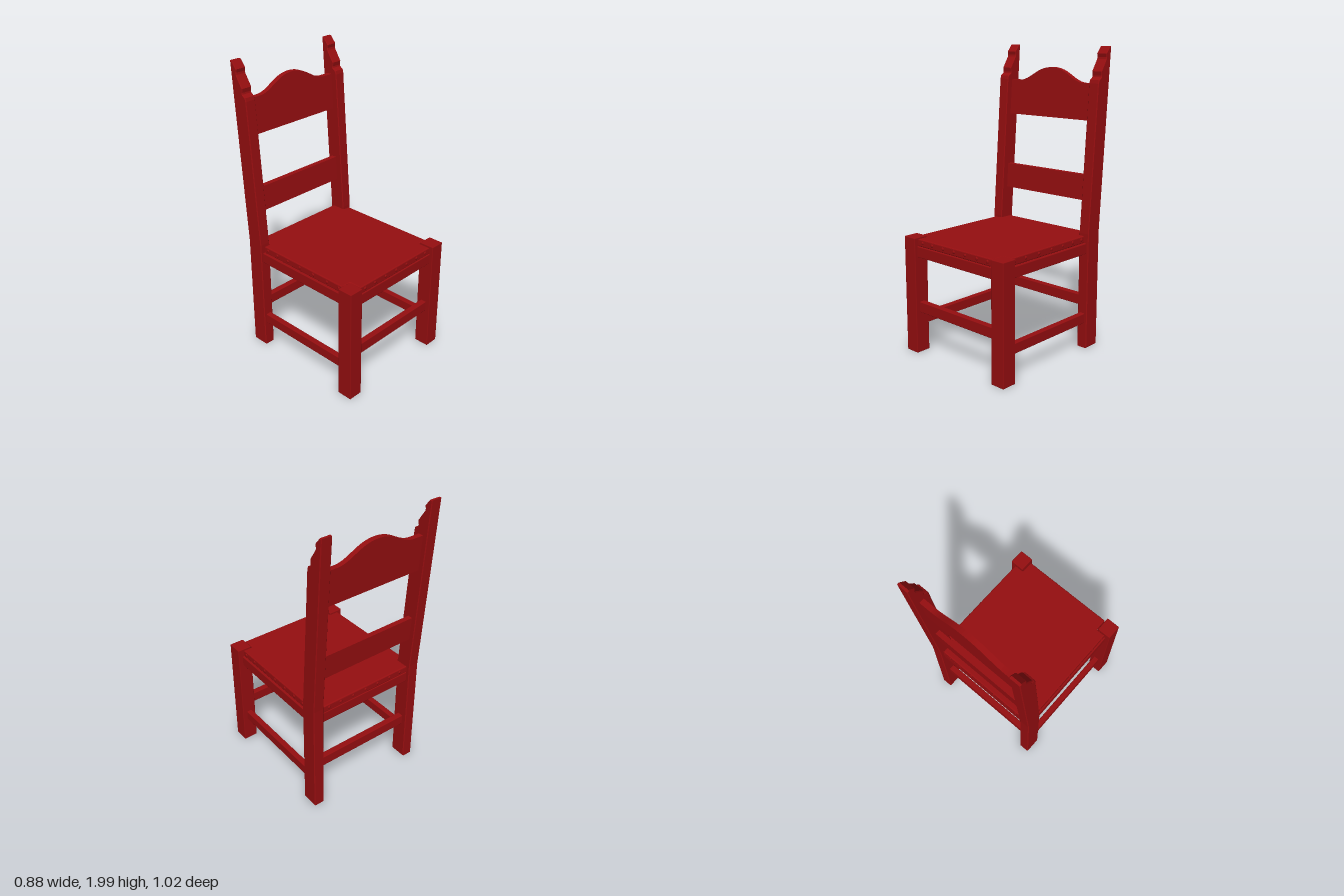
import * as THREE from 'three';
import { RoundedBoxGeometry } from 'three/addons/geometries/RoundedBoxGeometry.js';

export function createModel() {
  const chair = new THREE.Group();
  chair.name = 'chair';
  const red = new THREE.MeshStandardMaterial({ color: 0x960e10 });

  function add(name, geometry, x = 0, y = 0, z = 0) {
    const mesh = new THREE.Mesh(geometry, red);
    mesh.name = name;
    mesh.position.set(x, y, z);
    chair.add(mesh);
    return mesh;
  }
  // Softened bar given by its extents on each axis
  function bar(name, [x0, x1], [y0, y1], [z0, z1]) {
    const g = new RoundedBoxGeometry(x1 - x0, y1 - y0, z1 - z0, 1, 0.005);
    return add(name, g, (x0 + x1) / 2, (y0 + y1) / 2, (z0 + z1) / 2);
  }
  const points = list => list.map(([a, b]) => new THREE.Vector2(a, b));

  // Back post: side profile (z, y) with a carved finial, extruded across x
  const bevel = 0.005;
  const postShape = new THREE.Shape(points([
    [-0.42, 0.015], [-0.315, 0.015], [-0.315, 0.8], [-0.382, 1.765],
    [-0.387, 1.785], [-0.411, 1.802], [-0.414, 1.815], [-0.41, 1.84],
    [-0.458, 1.915], [-0.461, 1.93], [-0.457, 1.95], [-0.492, 1.993],
    [-0.501, 1.993], [-0.42, 0.8],
  ]));
  const postGeometry = new THREE.ExtrudeGeometry(postShape, {
    depth: 0.065, bevelThickness: bevel, bevelSize: bevel, bevelSegments: 1,
  });
  postGeometry.translate(0, 0, -0.0325).rotateY(-Math.PI / 2);

  for (const s of [-1, 1]) {
    const side = s > 0 ? 'Left' : 'Right';
    const span = (a, b) => (s > 0 ? [a, b] : [-b, -a]);
    add('backPost' + side, postGeometry, s * 0.389, 0, 0);
    bar('frontLeg' + side, span(0.34, 0.44), [0.01, 0.795], [0.405, 0.51]);
    bar('seatRail' + side, span(0.365, 0.41), [0.665, 0.737], [-0.33, 0.42]);
    bar('sideStretcher' + side, span(0.368, 0.408), [0.185, 0.253], [-0.33, 0.42]);
  }

  // Front and back rails and stretchers
  bar('frontSeatRail', [-0.35, 0.35], [0.665, 0.737], [0.445, 0.488]);
  bar('backSeatRail', [-0.36, 0.36], [0.665, 0.737], [-0.4, -0.357]);
  bar('frontStretcher', [-0.35, 0.35], [0.288, 0.36], [0.437, 0.479]);
  bar('backStretcher', [-0.36, 0.36], [0.288, 0.36], [-0.39, -0.348]);

  // Back slats, leaning with the posts
  const lean = 0.067;
  function slat(name, shape) {
    const g = new THREE.ExtrudeGeometry(shape, { depth: 0.035, bevelEnabled: false, curveSegments: 16 });
    const p = g.attributes.position;
    for (let i = 0; i < p.count; i++) {
      p.setZ(i, p.getZ(i) - 0.455 - lean * (p.getY(i) - 1.76));
    }
    g.computeVertexNormals();
    add(name, g);
  }
  slat('lowerSlat', new THREE.Shape(points([[-0.36, 1.005], [0.36, 1.005], [0.36, 1.172], [-0.36, 1.172]])));
  const crest = new THREE.Shape();
  crest.moveTo(-0.36, 1.525);
  crest.lineTo(0.36, 1.525);
  crest.lineTo(0.36, 1.762);
  crest.lineTo(0.28, 1.762);
  crest.bezierCurveTo(0.18, 1.762, 0.13, 1.855, 0, 1.855);
  crest.bezierCurveTo(-0.13, 1.855, -0.18, 1.762, -0.28, 1.762);
  crest.lineTo(-0.36, 1.762);
  slat('crestSlat', crest);

  // Upholstered seat, notched around the legs and posts
  const half = [[0.325, 0.478], [0.325, 0.405], [0.335, 0.393], [0.392, 0.393],
    [0.392, -0.292], [0.355, -0.295], [0.343, -0.307], [0.343, -0.393]];
  const outline = [...half, ...half.map(([x, z]) => [-x, z]).reverse()];
  const seatGeometry = new THREE.ExtrudeGeometry(
    new THREE.Shape(points(outline.map(([x, z]) => [x, -z]))),
    { depth: 0.034, bevelThickness: 0.008, bevelSize: 0.008, bevelSegments: 3 });
  seatGeometry.rotateX(-Math.PI / 2);
  add('seat', seatGeometry, 0, 0.747, 0);

  // Upholstery studs along the four edges
  const studGeometry = new THREE.SphereGeometry(0.011, 10, 6);
  function stud(x, z, sx, sz) {
    add('seatStud', studGeometry, x, 0.766, z).scale.set(sx, 1, sz);
  }
  for (const x of [-0.29, -0.2, -0.1, 0, 0.1, 0.2, 0.29]) {
    stud(x, 0.486, 1, 0.5);
    stud(x, -0.401, 1, 0.5);
  }
  for (const z of [0.37, 0.27, 0.15, 0.03, -0.08, -0.18, -0.27]) {
    stud(0.4, z, 0.5, 1);
    stud(-0.4, z, 0.5, 1);
  }
  return chair;
}
